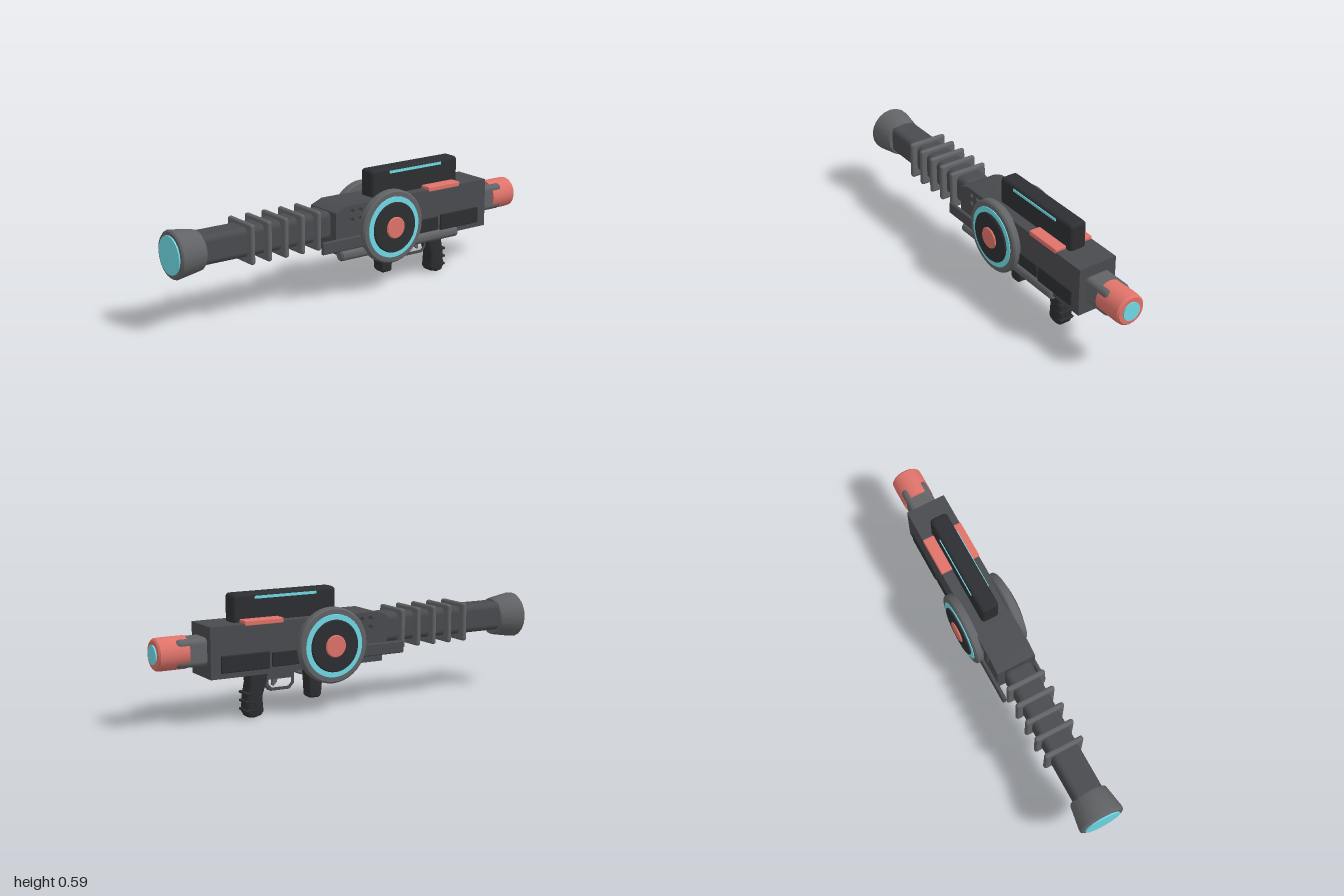
import * as THREE from 'three';
import { toCreasedNormals } from 'three/addons/utils/BufferGeometryUtils.js';
import { RoundedBoxGeometry } from 'three/addons/geometries/RoundedBoxGeometry.js';

const mat = (color) => new THREE.MeshStandardMaterial({ color });

export function createModel() {
  const model = new THREE.Group();
  const body = mat(0x4a4b4f), dark = mat(0x2d2e31), grey = mat(0x626366);
  const coral = mat(0xe0736a), cyan = mat(0x70dae6);

  const add = (name, geometry, material, x = 0, y = 0, z = 0, parent = model) => {
    const mesh = new THREE.Mesh(geometry, material);
    mesh.name = name;
    mesh.position.set(x, y, z);
    parent.add(mesh);
    return mesh;
  };
  // Box given by its extents on each axis; r rounds the edges
  const box = (name, material, [x0, x1], [y0, y1], [z0, z1], r = 0) => {
    const s = [x1 - x0, y1 - y0, z1 - z0];
    const g = r ? new RoundedBoxGeometry(...s, 3, r) : new THREE.BoxGeometry(...s);
    return add(name, g, material, (x0 + x1) / 2, (y0 + y1) / 2, (z0 + z1) / 2);
  };
  const lathe = (points, sides) => toCreasedNormals(
    new THREE.LatheGeometry(points.map((p) => new THREE.Vector2(...p)), sides), 0.6);
  const outline = (points, Type = THREE.Shape) => new Type(points.map((p) => new THREE.Vector2(...p)));
  // Side profile in (z, y), extruded across x to the given total width
  const profile = (shape, width, bevel = 0) => {
    const g = new THREE.ExtrudeGeometry(shape, {
      depth: width - 2 * bevel, bevelEnabled: bevel > 0, bevelSize: bevel,
      bevelThickness: bevel, bevelOffset: -bevel, bevelSegments: 3, curveSegments: 10,
    });
    g.translate(0, 0, -(width - 2 * bevel) / 2);
    g.rotateY(-Math.PI / 2);
    return toCreasedNormals(g, 0.6);
  };

  // Receiver with four vent holes through its nose
  const receiver = outline([
    [-0.76, 0.22], [0.14, 0.22], [0.14, 0.25], [0.17, 0.25],
    [0.17, 0.435], [0.11, 0.46], [-0.76, 0.46],
  ]);
  for (const z of [0.027, 0.075]) for (const y of [0.388, 0.43]) {
    const hole = new THREE.Path();
    hole.absarc(z, y, 0.012, 0, Math.PI * 2, true);
    receiver.holes.push(hole);
  }
  add('receiver', profile(receiver, 0.2), body);

  // Barrel, cooling rings and flared muzzle
  box('barrel', body, [-0.07, 0.07], [0.3, 0.44], [0.165, 0.9], 0.03);
  for (let i = 0; i < 5; i++) {
    const z = 0.262 + i * 0.0908;
    box('coolingRing', grey, [-0.1, 0.1], [0.27, 0.46], [z - 0.013, z + 0.013], 0.012);
  }
  const muzzle = lathe([[0, 0.855], [0.088, 0.855], [0.094, 0.862], [0.113, 0.975],
    [0.113, 0.985], [0.106, 0.993], [0, 0.993]], 20);
  add('muzzle', muzzle.rotateX(Math.PI / 2), grey, 0, 0.362, 0);
  add('muzzleLens', new THREE.CylinderGeometry(0.09, 0.09, 0.02, 20).rotateX(Math.PI / 2), cyan, 0, 0.362, 0.99);

  // Rear neck, whose corners break through the end cap
  box('rearNeck', grey, [-0.066, 0.066], [0.277, 0.407], [-0.912, -0.74], 0.025);
  const cap = lathe([[0, 0.845], [0.076, 0.845], [0.076, 0.96], [0.074, 0.985], [0.066, 0.993], [0, 0.993]], 24);
  add('endCap', cap.rotateX(-Math.PI / 2), coral, 0, 0.342, 0);
  add('endCapLens', new THREE.CylinderGeometry(0.045, 0.045, 0.02, 24).rotateX(Math.PI / 2), cyan, 0, 0.342, -0.99);

  for (const s of [-1, 1]) {
    // Side drum: rim, glowing ring, dark plate and hub
    const drum = new THREE.Group();
    drum.name = s > 0 ? 'leftDrum' : 'rightDrum';
    drum.position.set(0, 0.325, -0.145);
    drum.rotation.z = -s * Math.PI / 2;
    model.add(drum);
    const disc = (name, r, h0, h1, bevel, material) => add(name, lathe([
      [0, h0], [r - bevel, h0], [r, h0 + bevel], [r, h1 - bevel], [r - bevel, h1], [0, h1]], 40),
    material, 0, 0, 0, drum);
    disc('drumRim', 0.18, 0.092, 0.137, 0.008, grey);
    disc('drumGlowRing', 0.15, 0.12, 0.141, 0.001, cyan);
    disc('drumPlate', 0.124, 0.12, 0.15, 0.004, dark);
    disc('drumHub', 0.053, 0.13, 0.158, 0.004, coral);

    // Flank panels and front side plate
    const side = (a, b) => (s > 0 ? [a, b] : [-b, -a]);
    box('rearPanel', dark, side(0.09, 0.108), [0.245, 0.325], [-0.71, -0.465], 0.005);
    box('midPanel', dark, side(0.09, 0.105), [0.25, 0.318], [-0.452, -0.31], 0.005);
    box('sidePlate', body, side(0.097, 0.116), [0.25, 0.31], [-0.05, 0.255], 0.007);
  }

  // Lower tube, on the left flank only
  const tube = lathe([[0, -0.36], [0.02, -0.36], [0.028, -0.352], [0.028, 0.352], [0.02, 0.36], [0, 0.36]], 20);
  add('lowerTube', tube.rotateX(Math.PI / 2), grey, 0.09, 0.223, -0.215);

  // Top housing with light strips, and coral blocks beneath it
  box('topHousing', dark, [-0.045, 0.045], [0.445, 0.59], [-0.62, -0.082], 0.018);
  box('lightStrip', cyan, [-0.048, 0.048], [0.563, 0.576], [-0.51, -0.19]);
  box('topBlock', coral, [-0.102, 0.102], [0.45, 0.475], [-0.588, -0.39], 0.005);

  // Grips and trigger
  add('foregrip', profile(outline([[-0.14, 0.23], [-0.155, 0.075], [-0.168, 0.062],
    [-0.21, 0.062], [-0.22, 0.07], [-0.23, 0.23]]), 0.07, 0.012), dark);
  add('rearGrip', profile(outline([[-0.435, 0.23], [-0.445, 0.17], [-0.468, 0.1], [-0.462, 0.03], [-0.475, 0.012],
    [-0.51, 0.003], [-0.54, 0.008], [-0.552, 0.03], [-0.548, 0.1], [-0.535, 0.17], [-0.54, 0.23]]), 0.076, 0.014), dark);
  for (const y of [0.04, 0.08, 0.12])
    box('gripRib', dark, [-0.04, 0.04], [y - 0.006, y + 0.006], [-0.558, -0.51], 0.005);

  const guard = outline([[-0.295, 0.225], [-0.295, 0.145], [-0.32, 0.118], [-0.42, 0.118], [-0.445, 0.145], [-0.445, 0.225]]);
  guard.holes.push(outline([[-0.312, 0.172], [-0.312, 0.15], [-0.327, 0.133],
    [-0.413, 0.133], [-0.43, 0.15], [-0.43, 0.172]], THREE.Path));
  add('triggerGuard', profile(guard, 0.036), body);
  add('trigger', profile(outline([[-0.375, 0.18], [-0.382, 0.155], [-0.398, 0.138],
    [-0.405, 0.142], [-0.4, 0.18]]), 0.018), grey);

  return model;
}
